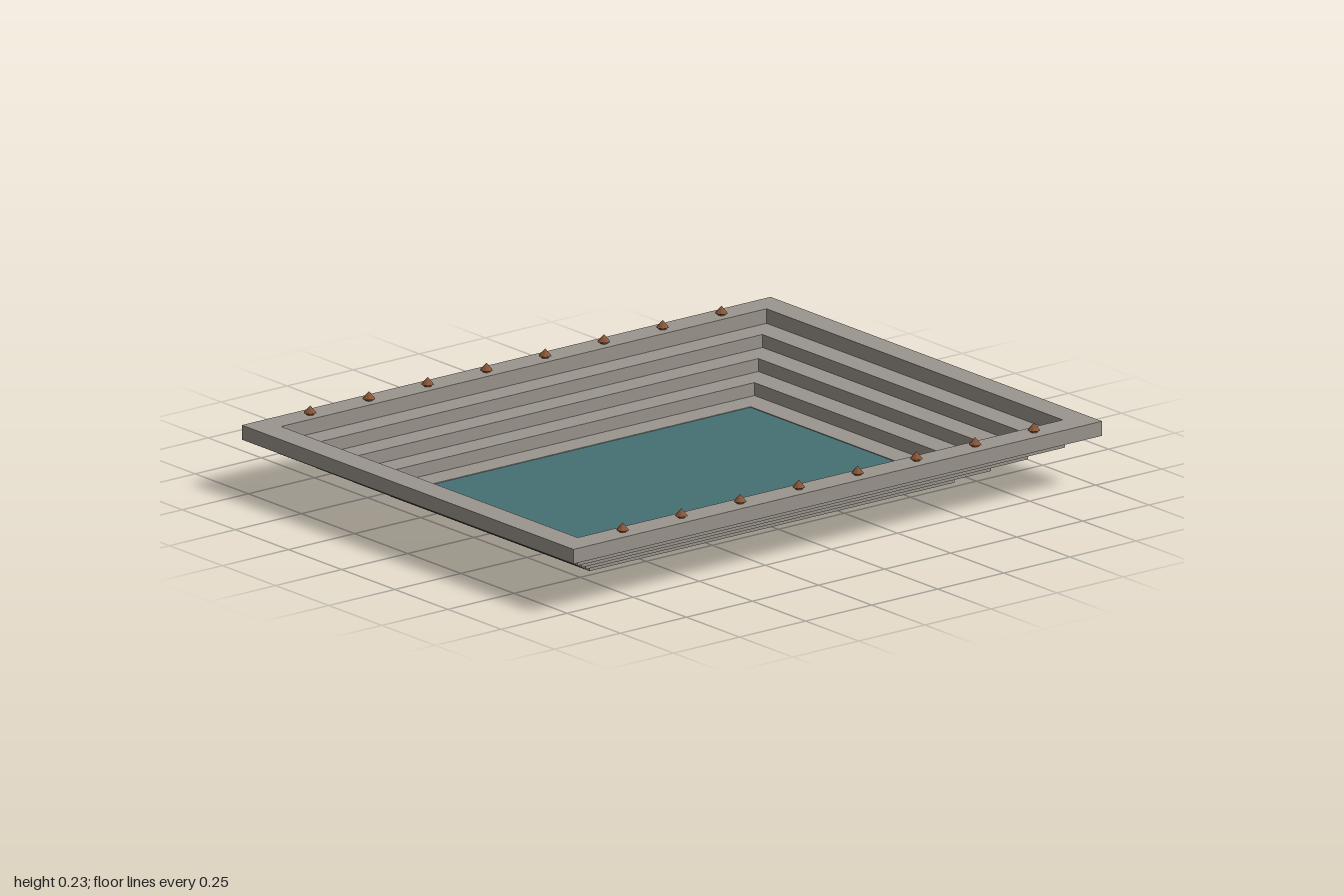
import * as THREE from 'three';

const stone = new THREE.MeshStandardMaterial({ color: 0x9a958d });
stone.name = 'stone';
const water = new THREE.MeshStandardMaterial({ color: 0x456f71 });
water.name = 'water';
const clay = new THREE.MeshStandardMaterial({ color: 0x8a5638, flatShading: true });
clay.name = 'clay';

// Rectangular frame lying flat, from y0 to y1, given outer and inner half sizes
function frame(ox, oz, ix, iz, y0, y1) {
  const rect = (C, x, z) => new C([[-x, -z], [x, -z], [x, z], [-x, z]].map(p => new THREE.Vector2(...p)));
  const shape = rect(THREE.Shape, ox, oz);
  shape.holes.push(rect(THREE.Path, ix, iz));
  const geo = new THREE.ExtrudeGeometry(shape, { depth: y1 - y0, bevelEnabled: false });
  return geo.rotateX(-Math.PI / 2).translate(0, y0, 0);
}

function add(parent, name, geometry, material) {
  const mesh = new THREE.Mesh(geometry, material);
  mesh.name = name;
  parent.add(mesh);
  return mesh;
}

export function createModel() {
  const model = new THREE.Group();
  model.name = 'steppedPool';

  // Five stone tiers widening upward
  for (let i = 0; i < 5; i++) {
    const grow = i * 0.0775;
    const top = i === 4 ? 0.205 : (i + 1) * 0.04;
    add(model, 'tier' + (i + 1),
      frame(0.69 + grow, 0.47 + grow, 0.608 + grow, 0.387 + grow, i * 0.04, top), stone);
  }

  // Water slab, its edge showing just outside the lowest tier
  add(model, 'water', new THREE.BoxGeometry(1.4, 0.015, 0.96).translate(0, 0.0305, 0), water);

  // Small lamps along the two long sides
  const stem = new THREE.CylinderGeometry(0.012, 0.012, 0.01, 8).translate(0, 0.21, 0);
  const cap = new THREE.ConeGeometry(0.019, 0.022, 8).translate(0, 0.222, 0);
  for (const side of [-1, 1]) {
    for (let i = 0; i < 8; i++) {
      const lamp = new THREE.Group();
      lamp.name = 'lamp';
      add(lamp, 'lampStem', stem, clay);
      add(lamp, 'lampCap', cap, clay);
      lamp.position.set(-0.778 + i * 0.2223, 0, side * 0.735);
      model.add(lamp);
    }
  }
  return model;
}
